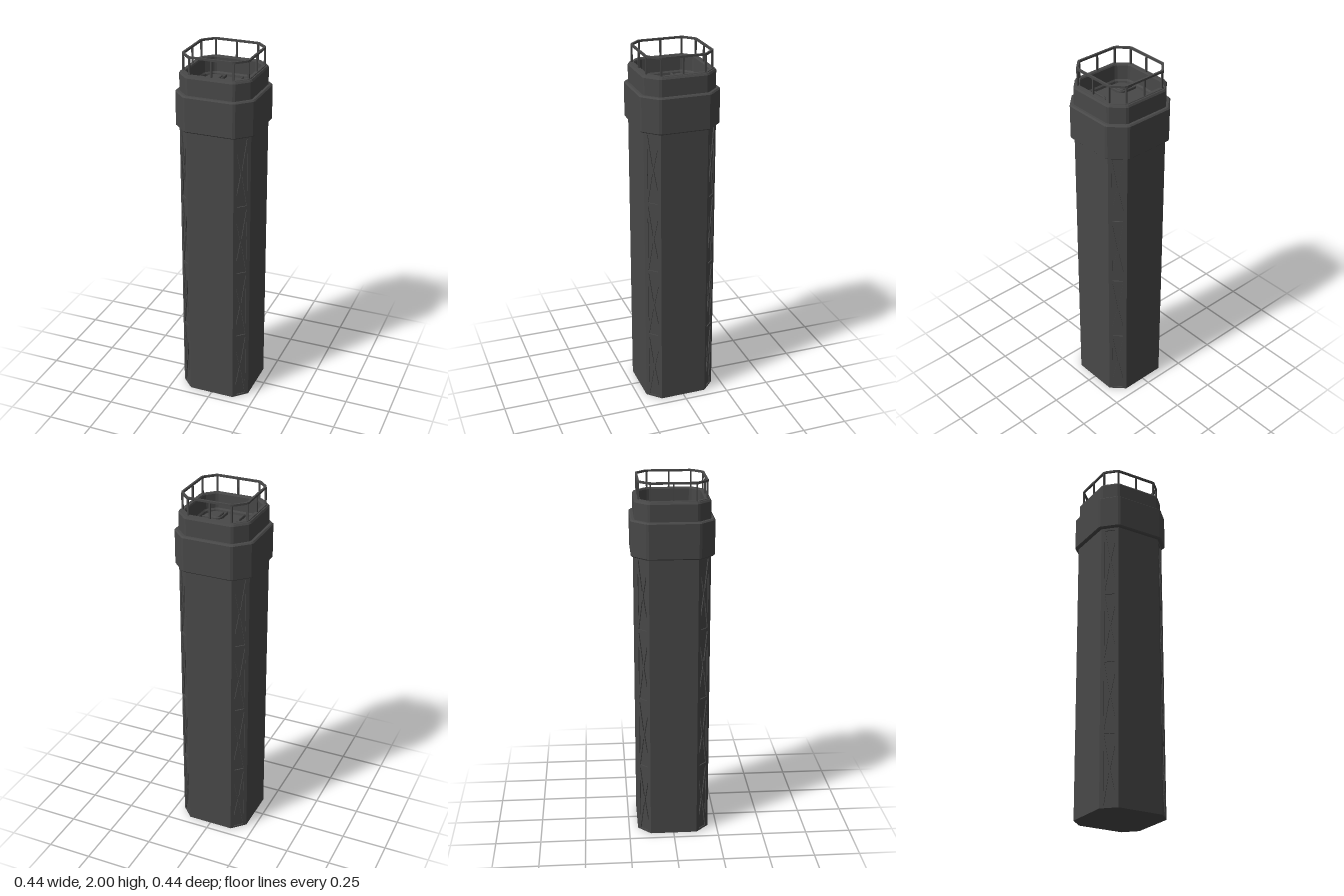
import * as THREE from 'three';

const material = new THREE.MeshStandardMaterial({ color: 0x484848 });

// Chamfered square of half-width h with slightly eased corners
function octagon(h) {
  const f = 0.13 + (h - 0.2) * 0.414, e = 0.008, d = e * Math.SQRT1_2;
  return [[h, f - e], [h - d, f + d], [f + d, h - d], [f - e, h]];
}

// Same square, with a shallow notch in the chamfer that holds the lattice plate
const recess = 0.006;
function notched(h) {
  const n = recess * Math.SQRT1_2;
  return [[h, 0.13], [h - n, 0.13 - n], [0.13 - n, h - n], [0.13, h]];
}

// Skin through stacked cross-sections; profile is a list of [half-width, y]
function loft(profile, section) {
  const loops = profile.map(([h, y]) => {
    const loop = [];
    for (let k = 0; k < 4; k++) {
      const c = Math.round(Math.cos(k * Math.PI / 2)), s = Math.round(Math.sin(k * Math.PI / 2));
      for (const [x, z] of section(h)) {
        loop.push(h === 0 ? [0, y, 0] : [x * c - z * s, y, x * s + z * c]);
      }
    }
    return loop;
  });
  const pos = [];
  for (let j = 0; j < loops.length - 1; j++) {
    const low = loops[j], high = loops[j + 1], n = low.length;
    for (let i = 0; i < n; i++) {
      const m = (i + 1) % n;
      pos.push(...low[i], ...high[i], ...low[m], ...high[i], ...high[m], ...low[m]);
    }
  }
  const geo = new THREE.BufferGeometry();
  geo.setAttribute('position', new THREE.Float32BufferAttribute(pos, 3));
  geo.computeVertexNormals();
  return geo;
}

function polygon(points, Type = THREE.Shape) {
  return new Type(points.map(([x, y]) => new THREE.Vector2(x, y)));
}

// Low raised shape lying on the roof floor
function raised(shape, height) {
  const bevel = 0.003;
  return new THREE.ExtrudeGeometry(shape, {
    depth: height - bevel, bevelEnabled: true, bevelSegments: 1,
    bevelSize: bevel, bevelThickness: bevel, bevelOffset: -bevel, curveSegments: 6,
  }).rotateX(-Math.PI / 2);
}

export function createModel() {
  const model = new THREE.Group();
  const add = (name, geo, parent = model) => {
    const mesh = new THREE.Mesh(geo, material);
    mesh.name = name;
    parent.add(mesh);
    return mesh;
  };

  // Shaft
  add('shaft', loft([[0, 0], [0.2, 0], [0.2, 1.605]], (h) => notched(h)));

  // Collar, parapet and sunken roof floor
  const floorY = 1.8;
  add('collarAndParapet', loft([
    [0.19, 1.604], [0.214, 1.604], [0.22, 1.61], [0.22, 1.793], [0.213, 1.8], [0.2, 1.8],
    [0.2, 1.89], [0.194, 1.9], [0.188, 1.9], [0.186, 1.904], [0.17, 1.904], [0.166, 1.897],
    [0.164, 1.82], [0.157, 1.812], [0.155, floorY], [0, floorY],
  ], octagon));

  // Corner lattice plates with triangular openings
  const plate = polygon([[-0.0495, 0], [0.0495, 0], [0.0495, 1.604], [-0.0495, 1.604]]);
  for (let k = 0; k < 4; k++) {
    const mid = 0.4 * k + 0.2;
    for (const s of [-1, 1]) {
      plate.holes.push(polygon([[-0.028, mid + s * 0.19], [0.028, mid + s * 0.19], [0, mid + s * 0.015]], THREE.Path));
      plate.holes.push(polygon([[s * 0.03, mid + 0.12], [s * 0.03, mid - 0.12], [s * 0.006, mid]], THREE.Path));
    }
  }
  const plateGeo = new THREE.ExtrudeGeometry(plate, { depth: recess, bevelEnabled: false });
  plateGeo.translate(0, 0, 0.33 * Math.SQRT1_2 - recess);

  // Roof corner pad and the curved kerb around it
  const pad = new THREE.Shape();
  pad.moveTo(0.085, 0.064);
  pad.lineTo(0.137, 0.064);
  pad.lineTo(0.137, 0.112);
  pad.lineTo(0.112, 0.137);
  pad.lineTo(0.064, 0.137);
  pad.lineTo(0.064, 0.085);
  pad.quadraticCurveTo(0.064, 0.064, 0.085, 0.064);
  const padGeo = raised(pad, 0.012);

  const kerb = new THREE.Shape();
  kerb.moveTo(0.148, 0.044);
  kerb.lineTo(0.148, 0.054);
  kerb.lineTo(0.08, 0.054);
  kerb.quadraticCurveTo(0.054, 0.054, 0.054, 0.08);
  kerb.lineTo(0.054, 0.148);
  kerb.lineTo(0.044, 0.148);
  kerb.lineTo(0.044, 0.077);
  kerb.quadraticCurveTo(0.044, 0.044, 0.077, 0.044);
  const kerbGeo = raised(kerb, 0.015);

  for (let k = 0; k < 4; k++) {
    const turn = k * Math.PI / 2;
    add('cornerLattice', plateGeo).rotation.y = turn + Math.PI / 4;
    for (const [name, geo] of [['roofPad', padGeo], ['roofKerb', kerbGeo]]) {
      const mesh = add(name, geo);
      mesh.rotation.y = turn;
      mesh.position.y = floorY;
    }
  }

  // Central hatch with scooped corners
  const hatch = new THREE.Shape();
  const a = 0.074, b = 0.042;
  hatch.moveTo(a, -b);
  hatch.lineTo(a, b);
  hatch.quadraticCurveTo(b + 0.005, b + 0.005, b, a);
  hatch.lineTo(-b, a);
  hatch.quadraticCurveTo(-b - 0.005, b + 0.005, -a, b);
  hatch.lineTo(-a, -b);
  hatch.quadraticCurveTo(-b - 0.005, -b - 0.005, -b, -a);
  hatch.lineTo(b, -a);
  hatch.quadraticCurveTo(b + 0.005, -b - 0.005, a, -b);
  add('roofHatch', raised(hatch, 0.006)).position.y = floorY;

  // Railing: handrail and twelve posts
  const railing = new THREE.Group();
  railing.name = 'railing';
  model.add(railing);
  add('handrail', loft([[0.173, 1.989], [0.184, 1.989], [0.184, 2], [0.173, 2], [0.173, 1.989]], octagon), railing);
  const postGeo = new THREE.BoxGeometry(0.009, 0.098, 0.009);
  for (let k = 0; k < 4; k++) {
    const side = new THREE.Group();
    side.name = 'railingSide';
    side.rotation.y = k * Math.PI / 2;
    railing.add(side);
    for (const x of [-0.119, 0, 0.119]) add('post', postGeo, side).position.set(x, 1.945, 0.178);
  }
  return model;
}
